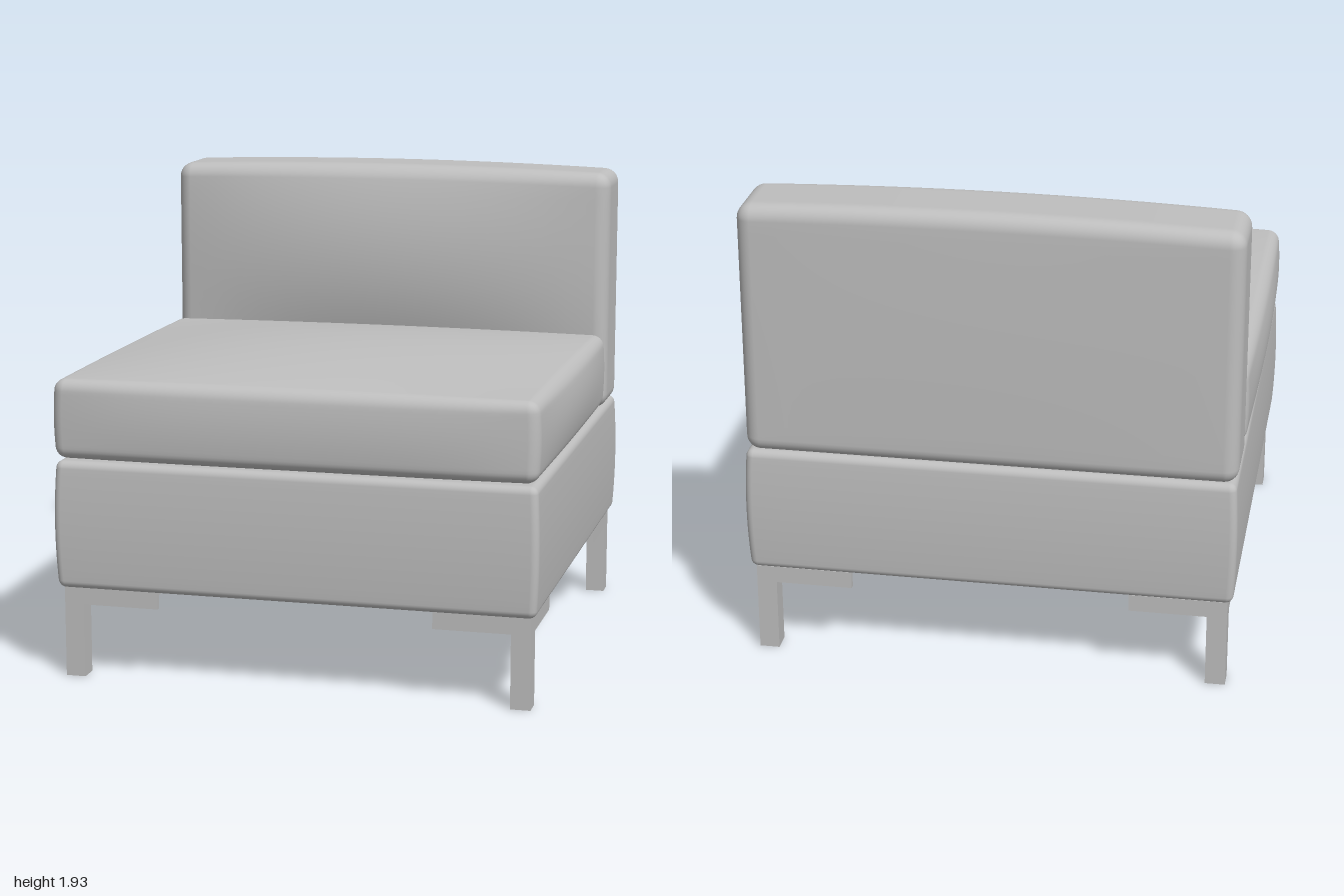
import * as THREE from 'three';
import { mergeVertices } from 'three/addons/utils/BufferGeometryUtils.js';

const N = 24; // divisions per box edge
const K = 4; // divisions spent on each rounded corner

// Rounded box with a fine mesh, bent by bulge(p, a, b, c); a, b, c run from -1 to 1
function cushion(w, h, d, r, bulge) {
  const geo = new THREE.BoxGeometry(1, 1, 1, N, N, N);
  geo.deleteAttribute('uv');
  geo.deleteAttribute('normal');
  const half = new THREE.Vector3(w, h, d).multiplyScalar(0.5);
  const core = half.clone().subScalar(r);
  const place = (t, full) => {
    const i = Math.round((t + 0.5) * N), c = full - r;
    if (i < K) return -full + r * i / K;
    if (i > N - K) return full - r * (N - i) / K;
    return -c + 2 * c * (i - K) / (N - 2 * K);
  };
  const pos = geo.attributes.position;
  const p = new THREE.Vector3(), q = new THREE.Vector3();
  for (let i = 0; i < pos.count; i++) {
    p.fromBufferAttribute(pos, i);
    p.set(place(p.x, half.x), place(p.y, half.y), place(p.z, half.z));
    q.copy(p).clamp(core.clone().negate(), core);
    p.sub(q).setLength(r).add(q);
    bulge(p, p.x / half.x, p.y / half.y, p.z / half.z);
    pos.setXYZ(i, p.x, p.y, p.z);
  }
  const out = mergeVertices(geo, 1e-5);
  out.computeVertexNormals();
  return out;
}

export function createModel() {
  const group = new THREE.Group();
  const grey = new THREE.MeshStandardMaterial({ color: 0xbebebe });
  grey.name = 'grey upholstery';

  const add = (parent, name, geo, x, y, z) => {
    const mesh = new THREE.Mesh(geo, grey);
    mesh.name = name;
    mesh.position.set(x, y, z);
    parent.add(mesh);
    return mesh;
  };

  // Upholstered base
  add(group, 'base', cushion(1.94, 0.52, 1.94, 0.03, (p, a, b, c) => {
    p.x += 0.01 * a * (1 - b * b);
    p.z += 0.01 * c * (1 - b * b);
  }), 0, 0.63, -0.01);

  // Seat cushion with a crowned top and soft sides
  add(group, 'seatCushion', cushion(1.94, 0.32, 1.6, 0.045, (p, a, b, c) => {
    p.x += 0.027 * a * (1 - b * b) * (1 - c * c * 0.7);
    p.z += 0.028 * Math.max(c, 0) * (1 - a ** 4) * (1 - b * b * 0.5);
    if (b > 0) p.y += 0.075 * b * (1 - a * a) * (1 - c * c);
  }), 0, 1.06, 0.17);

  // Back cushion, fuller towards the middle of its front
  add(group, 'backCushion', cushion(1.95, 1.03, 0.32, 0.06, (p, a, b, c) => {
    if (c > 0) {
      const rise = Math.max(0, 1 - ((b - 0.25) / 0.8) ** 2);
      p.z += 0.075 * c * (1 - a * a) * rise;
    }
    if (b > 0) p.y += 0.02 * b * (1 - a * a);
    p.z -= 0.008 * Math.max(-c, 0) * (1 - a * a) * (1 - b * b);
  }), 0, 1.395, -0.815);

  // Corner legs: square post with two angle-iron arms under the base
  const post = new THREE.BoxGeometry(0.08, 0.37, 0.08);
  const flange = new THREE.BoxGeometry(0.31, 0.07, 0.02);
  const plate = new THREE.BoxGeometry(0.31, 0.015, 0.08);
  for (const sx of [-1, 1]) {
    for (const sz of [-1, 1]) {
      const leg = new THREE.Group();
      leg.name = (sz > 0 ? 'front' : 'back') + (sx > 0 ? 'Left' : 'Right') + 'Leg';
      leg.position.set(sx * 0.91, 0, sz * 0.905 - 0.015);
      add(leg, 'post', post, 0, 0.185, 0);
      add(leg, 'sideArm', flange, -sx * 0.195, 0.335, sz * 0.03);
      add(leg, 'sidePlate', plate, -sx * 0.195, 0.3625, 0);
      add(leg, 'depthArm', flange, sx * 0.03, 0.335, -sz * 0.195).rotation.y = Math.PI / 2;
      add(leg, 'depthPlate', plate, 0, 0.3625, -sz * 0.195).rotation.y = Math.PI / 2;
      group.add(leg);
    }
  }
  return group;
}
